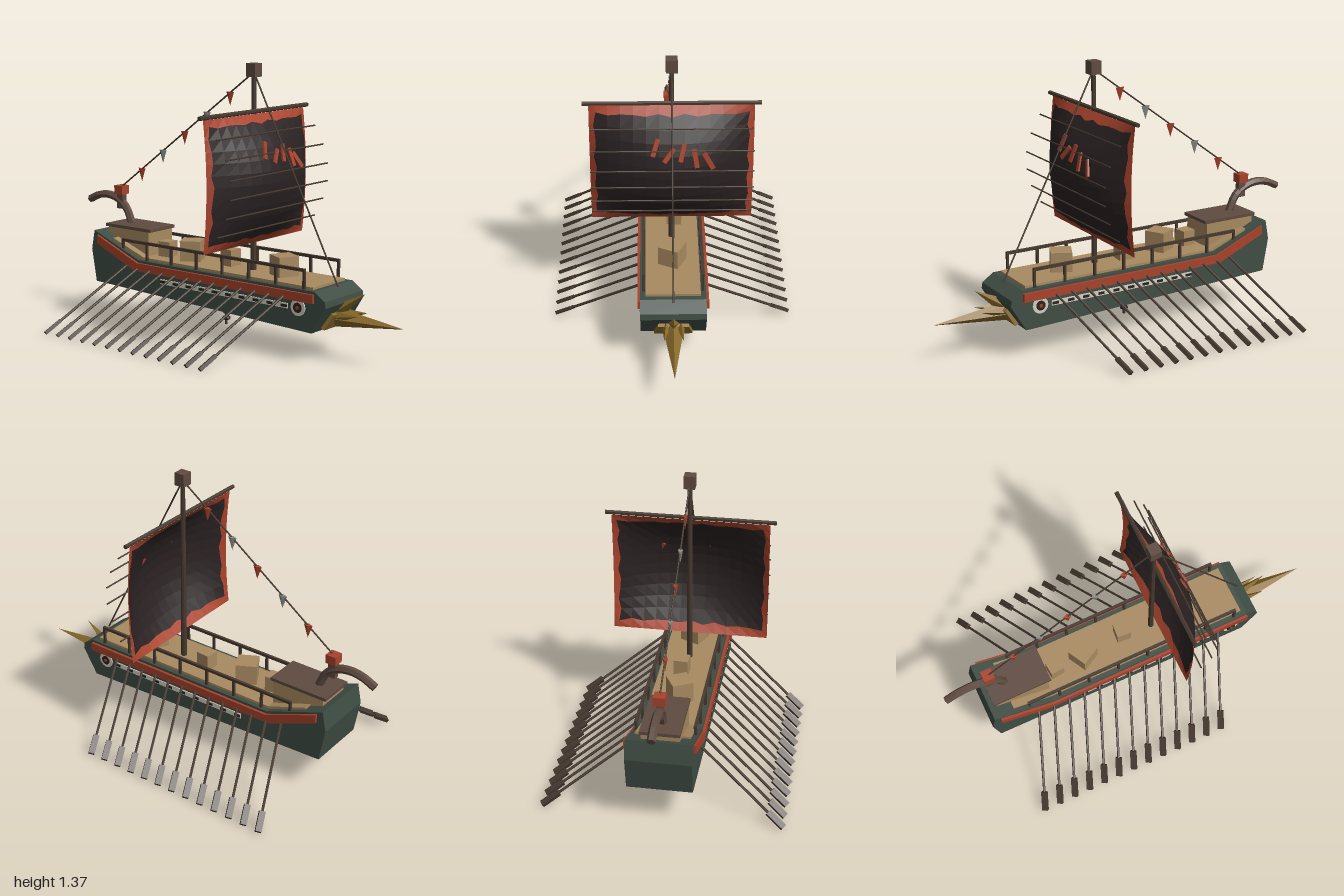
import * as THREE from 'three';

const mat = (name, color, side = THREE.FrontSide) => {
  const m = new THREE.MeshStandardMaterial({ color, side, flatShading: true });
  m.name = name;
  return m;
};

export function createModel() {
  const green = mat('hull green', 0x3f4d44);
  const red = mat('red paint', 0xa8432c, THREE.DoubleSide);
  const tan = mat('pale timber', 0xa88a60);
  const brown = mat('brown timber', 0x5f4b41);
  const dark = mat('dark timber', 0x46392f);
  const black = mat('black cloth', 0x2b2222, THREE.DoubleSide);
  const gold = mat('bronze', 0x8a6b2c);
  const white = mat('off white', 0xd6d2c2);
  const grey = mat('grey cloth', 0x8d9088);

  const model = new THREE.Group();
  const V = (x, y, z) => new THREE.Vector3(x, y, z);
  const UP = V(0, 1, 0);
  const add = (name, geo, material, x = 0, y = 0, z = 0, parent = model) => {
    const m = new THREE.Mesh(geo, material);
    m.name = name;
    m.position.set(x, y, z);
    parent.add(m);
    return m;
  };
  const box = (name, material, w, h, d, x, y, z) =>
    add(name, new THREE.BoxGeometry(w, h, d), material, x, y, z);
  // Straight round bar between two points
  const rod = (name, material, a, b, r0, r1 = r0, sides = 6) => {
    const d = b.clone().sub(a);
    const m = add(name, new THREE.CylinderGeometry(r1, r0, d.length(), sides), material);
    m.position.copy(a).addScaledVector(d, 0.5);
    m.quaternion.setFromUnitVectors(UP, d.normalize());
    return m;
  };
  // Side profile extruded across the ship
  const slab = (name, material, pts, depth, z) => {
    const shape = new THREE.Shape(pts.map(p => new THREE.Vector2(...p)));
    const geo = new THREE.ExtrudeGeometry(shape, { depth, bevelEnabled: false });
    return add(name, geo, material, 0, 0, z - depth / 2);
  };

  // Hull and deck
  slab('hull', green, [[-0.8, 0.2], [0.585, 0.15], [0.665, 0.28], [0.66, 0.31], [0.6, 0.35],
    [-0.5, 0.35], [-0.81, 0.47], [-0.83, 0.37]], 0.312, 0);
  slab('deck', tan, [[-0.7, 0.41], [-0.5, 0.34], [0.575, 0.34], [0.575, 0.362], [-0.49, 0.362],
    [-0.7, 0.438]], 0.26, 0);

  // Stern cabin
  box('cabin', tan, 0.28, 0.13, 0.18, -0.63, 0.425, 0);
  box('cabinRoof', brown, 0.31, 0.016, 0.19, -0.63, 0.494, 0);

  // Deck crates: x, z, size, height, turn
  [[-0.425, 0.015, 0.07, 0.08, 0.1], [-0.265, 0.01, 0.105, 0.105, 0.5],
    [-0.035, -0.015, 0.072, 0.085, -0.08], [0.31, 0, 0.105, 0.1, -0.45]].forEach(([x, z, s, h, turn]) => {
    box('crate', tan, s, h, s, x, 0.36 + h / 2, z).rotation.y = turn;
  });

  for (const s of [1, -1]) {
    // Red gunwale strake
    slab('gunwale', red, [[-0.78, 0.405], [-0.52, 0.295], [0.6, 0.295], [0.6, 0.337],
      [-0.5, 0.337], [-0.78, 0.449]], 0.014, s * 0.162);

    // Railing
    box('rail', dark, 1.16, 0.014, 0.014, -0.045, 0.44, s * 0.14);
    for (let i = 0; i < 8; i++)
      box('railPost', dark, 0.012, 0.1, 0.012, -0.62 + i * 0.1643, 0.39, s * 0.14);

    // Oar port strip
    box('portStrip', white, 0.8, 0.025, 0.006, 0.05, 0.262, s * 0.158);
    for (let i = 0; i < 10; i++)
      box('oarPort', black, 0.034, 0.013, 0.004, -0.33 + i * 0.0845, 0.262, s * 0.162);

    // Painted eye
    [[0.041, white, 0.158], [0.024, black, 0.162], [0.009, red, 0.165]].forEach(([r, m, z]) => {
      add('eye', new THREE.CylinderGeometry(r, r, 0.007, 16), m, 0.51, 0.263, s * z).rotation.x = Math.PI / 2;
    });

    // Bank of oars
    for (let i = 0; i < 13; i++) {
      const x = 0.435 - i * 0.0845;
      const a = V(x, 0.318, s * 0.15), b = V(x - 0.173, 0.013, s * 0.575);
      rod('oarShaft', dark, a, b, 0.0065);
      const blade = add('oarBlade', new THREE.BoxGeometry(0.03, 0.1, 0.018), dark);
      blade.position.lerpVectors(a, b, 0.91);
      blade.quaternion.setFromUnitVectors(UP, b.clone().sub(a).normalize());
    }
  }

  // Mast and yard
  rod('mast', dark, V(0.122, 0.35, 0), V(0.122, 1.32, 0), 0.015, 0.011, 8);
  box('mastHead', brown, 0.055, 0.065, 0.055, 0.122, 1.34, 0);
  rod('yard', dark, V(0.132, 1.142, -0.42), V(0.132, 1.142, 0.42), 0.011);

  // Billowing sail: red border cells around a ragged black field
  const sailX = (u, v) => 0.13 + 0.135 * (1 - u * u) * (1 - v * v) + 0.02 * (1 - v * v);
  const NU = 15, NV = 13, pos = [], field = [], border = [];
  const line = (i, n, e) => i === 0 ? -1 : i === n - 1 ? 1 : -e + 2 * e * (i - 1) / (n - 3);
  for (let j = 0; j < NV; j++) for (let i = 0; i < NU; i++) {
    let u = line(i, NU, 0.93), v = line(j, NV, 0.88);
    if (i === 1 || i === NU - 2) u += 0.018 * Math.sin(j * 2.3 + i);
    if (j === 1 || j === NV - 2) v += 0.022 * Math.sin(i * 2.7 + j);
    pos.push(sailX(u, v), 0.815 + 0.315 * v, -0.39 * u);
    if (i < NU - 1 && j < NV - 1) {
      const a = j * NU + i, edge = i === 0 || j === 0 || i === NU - 2 || j === NV - 2;
      (edge ? border : field).push(a, a + 1, a + NU + 1, a, a + NU + 1, a + NU);
    }
  }
  const sail = new THREE.BufferGeometry();
  sail.setAttribute('position', new THREE.Float32BufferAttribute(pos, 3));
  sail.setIndex([...field, ...border]);
  sail.addGroup(0, field.length, 0);
  sail.addGroup(field.length, border.length, 1);
  sail.computeVertexNormals();
  add('sail', sail, [black, red]);

  // Straight battens touching the belly of the sail
  for (const y of [1.045, 0.955, 0.862, 0.773, 0.682, 0.59]) {
    const x = sailX(0, (y - 0.815) / 0.315) + 0.005;
    rod('batten', dark, V(x, y, -0.385), V(x, y, 0.385), 0.004);
  }

  // Slash marks on the sail: z, y, length, tilt
  [[0.079, 0.97, 0.088, -0.3], [0.015, 0.938, 0.08, -0.65], [-0.048, 0.948, 0.088, -0.22],
    [-0.11, 0.92, 0.092, 0.17], [-0.172, 0.9, 0.088, 0.55]].forEach(([z, y, len, tilt]) => {
    const x = sailX(z / 0.39, (y - 0.815) / 0.315) + 0.008;
    const m = box('slashMark', red, 0.009, len, 0.022, x, y, z);
    m.rotation.set(tilt, 0, 0.28);
  });

  // Stays and pennants
  const top = V(0.122, 1.33, 0), stern = V(-0.76, 0.685, 0);
  rod('foreStay', dark, top, V(0.625, 0.35, 0), 0.004);
  rod('backStay', dark, top, stern, 0.004);
  for (let i = 0; i < 5; i++) {
    const p = top.clone().lerp(stern, (i + 1) / 6);
    const m = add('pennant', new THREE.ConeGeometry(0.024, 0.068, 4), i % 2 ? grey : red, p.x, p.y - 0.03, 0);
    m.rotation.x = Math.PI;
    m.scale.z = 0.5;
  }

  // Curved stern ornament with its lantern
  const curl = new THREE.CatmullRomCurve3([V(-0.69, 0.5, 0), V(-0.725, 0.575, 0), V(-0.78, 0.618, 0),
    V(-0.85, 0.635, 0), V(-0.92, 0.627, 0), V(-0.985, 0.598, 0)]);
  add('sternCurl', new THREE.TubeGeometry(curl, 12, 0.021, 6), brown);
  for (const t of [0, 1]) {
    const p = curl.getPoint(t), d = curl.getTangent(t).multiplyScalar(0.004);
    rod('curlCap', brown, p.clone().sub(d), p.clone().add(d), 0.021);
  }
  box('lanternPost', brown, 0.04, 0.08, 0.03, -0.76, 0.61, 0);
  box('sternLantern', red, 0.055, 0.045, 0.055, -0.76, 0.67, 0);

  // Bronze ram: backing plate and spikes
  const plateShape = new THREE.Shape([[-0.092, -0.04], [0.092, -0.04], [0.072, 0.045], [-0.072, 0.045]]
    .map(p => new THREE.Vector2(...p)));
  const plate = add('ramPlate', new THREE.ExtrudeGeometry(plateShape, { depth: 0.03, bevelEnabled: false }),
    gold, 0.605, 0.205, 0);
  plate.rotation.order = 'YXZ';
  plate.rotation.set(0.52, Math.PI / 2, 0);
  const spike = (a, b, r, wide) => {
    const m = rod('ramSpike', gold, a, b, r, 0.0005, 4);
    m.scale.z = wide;
  };
  spike(V(0.6, 0.205, 0), V(0.99, 0.205, 0), 0.05, 1.1);
  spike(V(0.6, 0.215, 0), V(0.775, 0.335, 0), 0.042, 0.8);
  for (const s of [1, -1]) spike(V(0.61, 0.21, s * 0.03), V(0.76, 0.235, s * 0.045), 0.035, 0.7);

  // Hanging keel charm
  rod('charmStem', dark, V(-0.05, 0.06, 0), V(-0.05, 0.18, 0), 0.007);
  add('charmBead', new THREE.SphereGeometry(0.021, 8, 6), green, -0.05, 0.132, 0);
  add('charmRing', new THREE.SphereGeometry(0.022, 8, 6), black, -0.05, 0.092, 0).scale.y = 0.55;
  add('charmTip', new THREE.ConeGeometry(0.009, 0.03, 6), brown, -0.05, 0.07, 0).rotation.x = Math.PI;

  return model;
}
